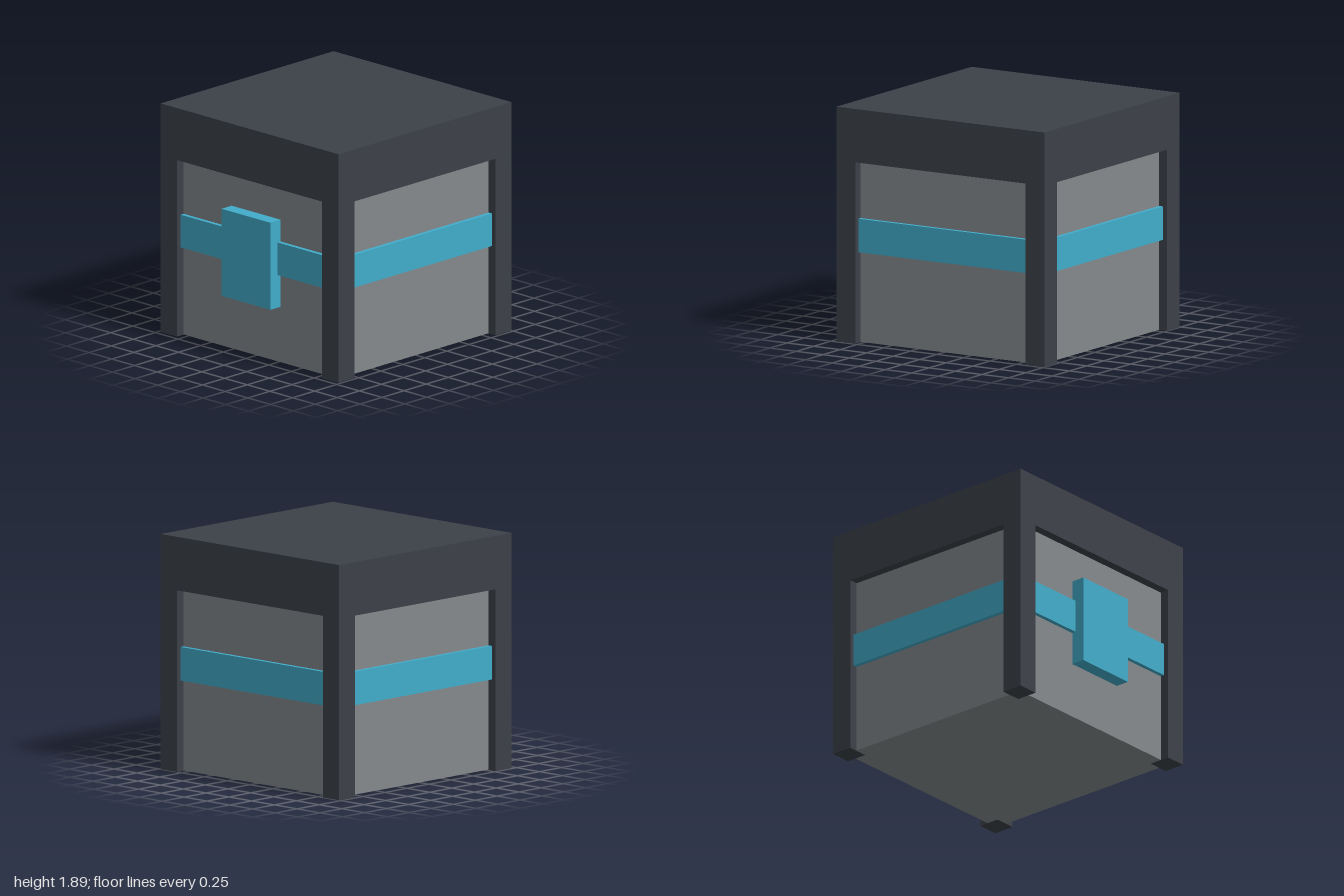
import * as THREE from 'three';

export function createModel() {
  const model = new THREE.Group();
  model.name = 'crate';

  const mat = (name, color) => {
    const m = new THREE.MeshStandardMaterial({ color });
    m.name = name;
    return m;
  };
  const dark = mat('dark frame', 0x3c4148);
  const grey = mat('grey panel', 0x84898c);
  const blue = mat('blue trim', 0x41accb);

  // Box given by its centre in x and z, and its bottom and top heights
  const box = (name, material, w, y0, y1, d, x, z) => {
    const mesh = new THREE.Mesh(new THREE.BoxGeometry(w, y1 - y0, d), material);
    mesh.position.set(x, (y0 + y1) / 2, z);
    mesh.name = name;
    model.add(mesh);
  };

  const size = 1.96, post = 0.18, cz = -0.02;

  // Deep lid and the recessed body under it
  box('lid', dark, size, 1.46, 1.89, size, 0, cz);
  box('body', grey, size - 0.15, 0.002, 1.47, size - 0.15, 0, cz);

  // Four corner posts
  const offset = (size - post) / 2;
  for (const sx of [-1, 1]) {
    for (const sz of [-1, 1]) {
      box('cornerPost', dark, post, 0, 1.46, post, sx * offset, cz + sz * offset);
    }
  }

  // Band running round the body, and the front latch plate
  box('band', blue, size - 0.08, 0.73, 1.0, size - 0.08, 0, cz);
  box('latchPlate', blue, 0.54, 0.46, 1.18, 0.13, 0, 0.935);

  return model;
}
